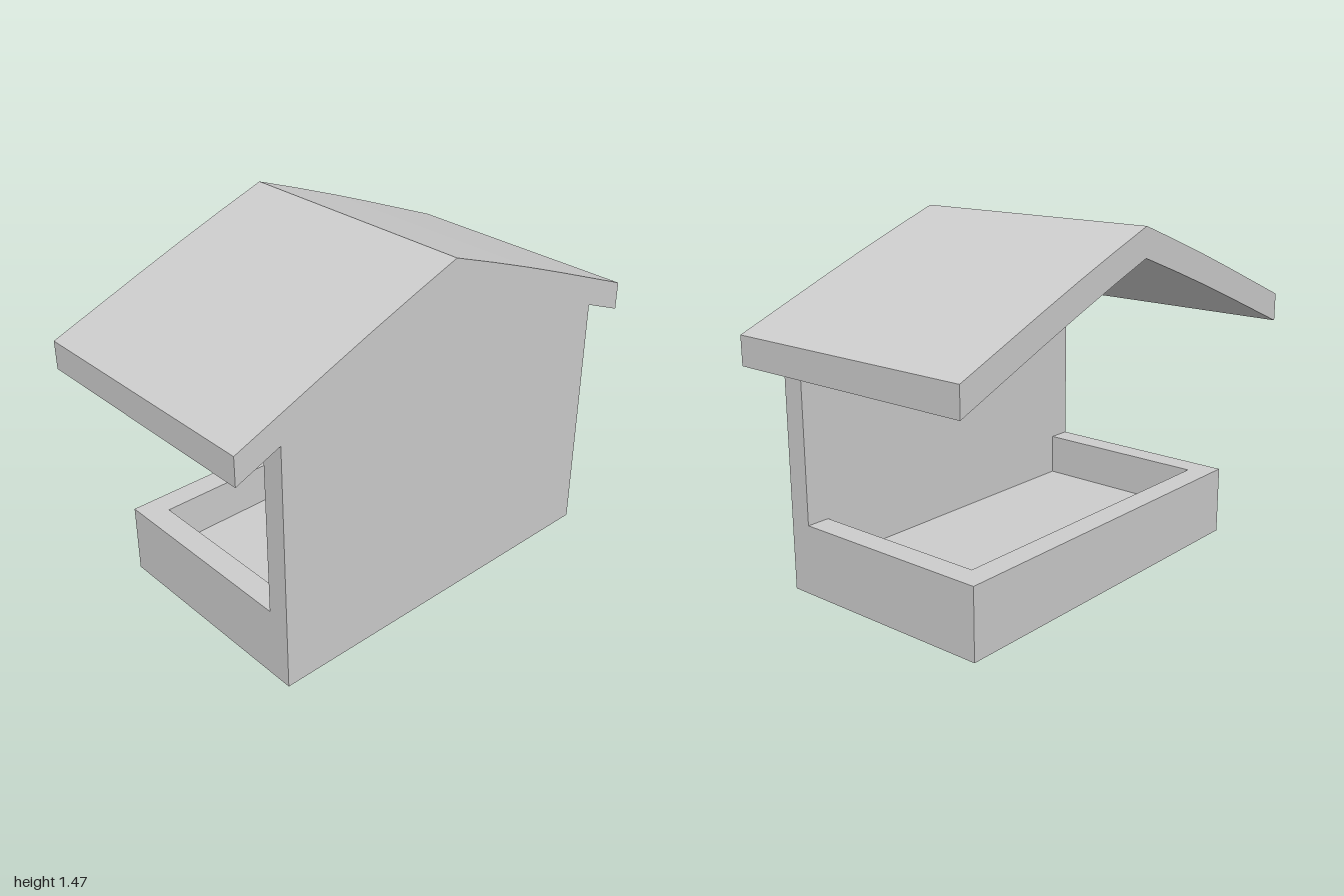
import * as THREE from 'three';

const HALF_W = 0.81;                 // half width of the house
const FRONT = 0.55, WALL_IN = 0.455; // front wall faces
const BACK = -0.42;                  // back of the tray
const RIM = 0.1, RIM_TOP = 0.293, FLOOR_TOP = 0.115;
const ROOF_T = 0.118;                // vertical roof thickness

// Right half of the slightly bowed roof line, ridge to eave
const roofLine = [[0, 1.465], [0.2, 1.392], [0.4, 1.316], [0.6, 1.237], [0.8, 1.156], [1, 1.075]];

function mirrored(points) {
  const left = points.slice(1).reverse().map(([x, y]) => [-x, y]);
  return [...left, ...points];
}

function toShape(points) {
  return new THREE.Shape(points.map(([x, y]) => new THREE.Vector2(x, y)));
}

export function createModel() {
  const group = new THREE.Group();
  const material = new THREE.MeshStandardMaterial({ color: 0xcccccc });

  function add(name, geometry) {
    const mesh = new THREE.Mesh(geometry, material);
    mesh.name = name;
    group.add(mesh);
  }
  function extrude(name, points, z0, z1) {
    const geometry = new THREE.ExtrudeGeometry(toShape(points), { depth: z1 - z0, bevelEnabled: false });
    add(name, geometry.translate(0, 0, z0));
  }
  function box(name, x0, x1, y0, y1, z0, z1) {
    const geometry = new THREE.BoxGeometry(x1 - x0, y1 - y0, z1 - z0);
    add(name, geometry.translate((x0 + x1) / 2, (y0 + y1) / 2, (z0 + z1) / 2));
  }

  // Roof: a bent slab running front to back
  const top = mirrored(roofLine);
  const under = top.map(([x, y]) => [x, y - ROOF_T]);
  extrude('roof', [...under, ...top.slice().reverse()], -0.55, FRONT);

  // Gabled front wall, cut to the underside of the roof
  const gable = roofLine.slice(0, 5).map(([x, y]) => [x, y - ROOF_T]);
  gable.push([HALF_W, 1.152 - ROOF_T]);
  extrude('frontWall', [[-HALF_W, 0], [HALF_W, 0], ...mirrored(gable).reverse()], WALL_IN, FRONT);

  // Open tray behind the wall: floor and three rims
  const inner = HALF_W - RIM;
  box('trayFloor', -inner, inner, 0, FLOOR_TOP, BACK + RIM, WALL_IN);
  box('trayBackRim', -HALF_W, HALF_W, 0, RIM_TOP, BACK, BACK + RIM);
  box('trayLeftRim', inner, HALF_W, 0, RIM_TOP, BACK + RIM, WALL_IN);
  box('trayRightRim', -HALF_W, -inner, 0, RIM_TOP, BACK + RIM, WALL_IN);

  return group;
}
